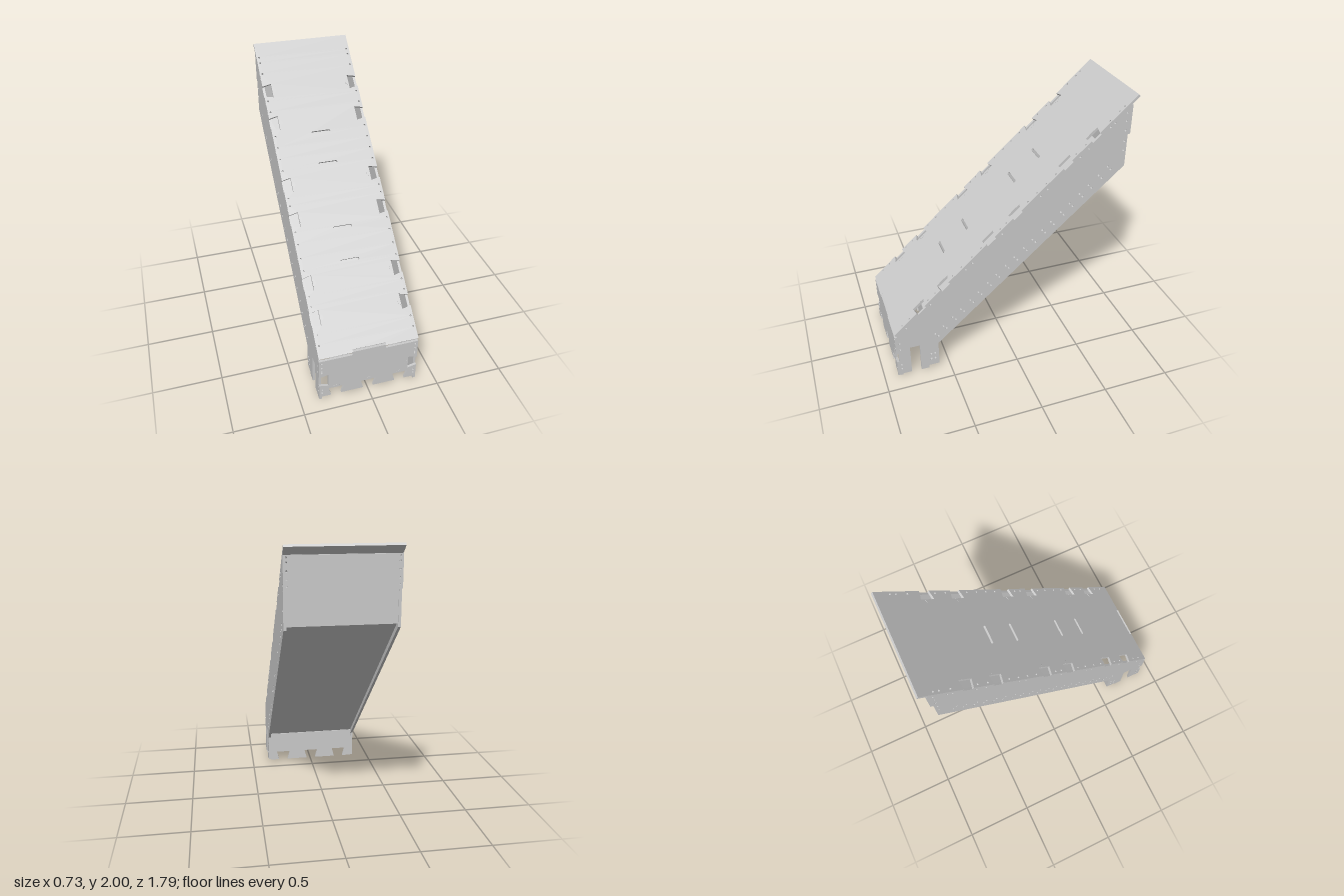
import * as THREE from 'three';

const T = 0.018;                 // sheet thickness
const W = 0.365;                 // half width
const A = Math.atan(0.9);        // slope angle
const SIN = Math.sin(A), COS = Math.cos(A);
const LENGTH = 1.6 / SIN;        // length of the sloping cover
const mat = new THREE.MeshStandardMaterial({ color: 0xcccccc, side: THREE.DoubleSide });

const toShape = pts => new THREE.Shape(pts.map(([x, y]) => new THREE.Vector2(x, y)));

function hole(shape, x, y, r = 0.007) {
  const p = new THREE.Path();
  p.absarc(x, y, r, 0, Math.PI * 2, true);
  shape.holes.push(p);
}

// Rounded horizontal slot
function slot(shape, y, half, r) {
  const p = new THREE.Path();
  p.absarc(half - r, y, r, -Math.PI / 2, Math.PI / 2, false);
  p.absarc(-half + r, y, r, Math.PI / 2, Math.PI * 1.5, false);
  p.closePath();
  shape.holes.push(p);
}

// Dovetail cut, wider at its inner end: [position along edge, depth]
const dovetail = (c, outer, inner, depth) =>
  [[c - outer, 0], [c - inner, depth], [c + inner, depth], [c + outer, 0]];

// Symmetric sheet outline with dovetails in the sides and the bottom edge
function outline(half, y0, y1, { side = [], bottom = [], foot = [], head = [] }) {
  const base = bottom.flatMap(c => dovetail(c, 0.037, 0.056, 0.07)).map(([x, d]) => [x, y0 + d]);
  const right = side.flatMap(c => dovetail(c, 0.04, 0.055, 0.067)).map(([y, d]) => [half - d, y]);
  const up = [...foot, [half, foot.length ? foot[foot.length - 1][1] : y0], ...right, [half, y1], ...head];
  return toShape([...base, ...up, ...up.map(([x, y]) => [-x, y]).reverse()]);
}

function sheet(name, shape, depth = T) {
  const geo = new THREE.ExtrudeGeometry(shape, { depth, bevelEnabled: false, curveSegments: 8 });
  const mesh = new THREE.Mesh(geo, mat);
  mesh.name = name;
  return mesh;
}

// Thin half discs at the inner ends of the dovetails
function reliefDisc(parent, x, y, angle) {
  const s = new THREE.Shape();
  s.absarc(0, 0, 0.025, -Math.PI / 2, Math.PI / 2, false);
  const m = sheet('reliefDisc', s, 0.002);
  m.position.set(x, y, T - 0.0005);
  m.rotation.z = angle;
  parent.add(m);
}

function sideDiscs(parent, centres) {
  for (const y of centres) {
    reliefDisc(parent, W - 0.067, y, Math.PI);
    reliefDisc(parent, -W + 0.067, y, 0);
  }
}

// Sloping cover with side dovetails, slots and rows of rivet holes
function makeCover() {
  const along = y => (y - 0.4) / SIN;
  const cuts = [0.585, 0.75, 1.06, 1.235, 1.56, 1.735].map(along);
  const s = outline(W, 0, LENGTH, { side: cuts, foot: [[0.12, 0.02], [0.12, 0]] });
  for (const y of [0.825, 0.99, 1.32, 1.485]) slot(s, along(y), 0.072, 0.01);
  const rows = [0.46, 0.51, 0.64, 0.69, 0.81, 0.87, 0.94, 1.0, 1.13, 1.17, 1.31, 1.37, 1.43, 1.49, 1.62, 1.68, 1.83, 1.89, 1.92];
  for (const y of rows) for (const x of [-0.345, 0.345]) hole(s, x, along(y));
  const m = sheet('slopingCover', s);
  m.rotation.x = A - Math.PI / 2;
  m.position.set(0, 0.4 - T * COS, 0.9 - T * SIN);
  sideDiscs(m, cuts);
  return m;
}

// Side wall, drawn in (z, y)
function makeSide(name, x) {
  const top = z => 0.4 + (0.9 - z) * 0.9 - T / COS;
  const s = toShape([
    [0.882, 0], [0.882, top(0.882)], [-0.825, top(-0.825)], [-0.825, 1.48],
    [0.58, 0.23], [0.58, 0.03], [0.66, 0.03], [0.66, 0.005], [0.72, 0.005],
    [0.72, 0.25], [0.795, 0.25], [0.795, 0.01], [0.86, 0.01], [0.86, 0],
  ]);
  // paired holes along the lower edge
  for (let i = 0; i < 20; i++) {
    const z = 0.587 - i * 0.0684 + (i % 2 ? 0.004 : 0), y = 0.313 + (0.587 - z) * 0.9;
    hole(s, z + 0.012, y + 0.013, 0.008);
    hole(s, z - 0.012, y - 0.013, 0.008);
  }
  // holes under the cover
  for (const z of [0.81, 0.62, 0.35, 0.3, 0.08, -0.2, -0.25, -0.48, -0.54, -0.69, -0.72])
    hole(s, z, top(z) - 0.016);
  for (const z of [0.61, 0.64]) for (const y of [0.09, 0.14]) hole(s, z, y, 0.009);
  for (const y of [0.06, 0.1, 0.25, 0.31]) hole(s, 0.868, y);
  for (const y of [1.6, 1.67, 1.75, 1.82, 1.88]) hole(s, -0.805, y);
  const m = sheet(name, s);
  m.rotation.y = -Math.PI / 2;
  m.position.x = x;
  return m;
}

// Front plate with a centre tab and dovetails
function makeFront() {
  const s = outline(W, 0.025, 0.375, {
    bottom: [-0.24, 0, 0.24], side: [0.178],
    foot: [[0.345, 0.025], [0.345, 0.003]],
    head: [[0.12, 0.375], [0.12, 0.405]],
  });
  for (const y of [0.06, 0.09, 0.26, 0.275, 0.31, 0.35]) for (const x of [-0.345, 0.345]) hole(s, x, y);
  const m = sheet('frontPlate', s);
  m.position.z = 0.9 - T;
  sideDiscs(m, [0.178]);
  for (const x of [-0.24, 0, 0.24]) reliefDisc(m, x, 0.095, Math.PI / 2);
  return m;
}

function makeRear() {
  const g = new THREE.Group();
  g.name = 'rearPlates';
  const inner = W - T;
  // short plate behind the feet
  const foot = sheet('footPlate', outline(inner, 0.025, 0.26, { bottom: [-0.24, 0, 0.24] }));
  foot.position.z = 0.582;
  // lower plate sits between the sides, upper plate laps over them
  const lower = sheet('lowerBackPlate', outline(inner, 1.5, 1.8, {}));
  lower.position.z = -0.82;
  const s = outline(W, 1.72, 1.935, {});
  for (const y of [1.75, 1.79, 1.84, 1.89, 1.92]) for (const x of [-0.345, 0.345]) hole(s, x, y);
  const upper = sheet('upperBackPlate', s);
  upper.position.z = -0.825 - T;
  g.add(foot, lower, upper);
  return g;
}

// Sloping floor recessed between the sides
function makeFloor() {
  const m = sheet('slopingFloor', outline(W - T, 0, Math.hypot(1.39, 1.24), {}));
  m.rotation.x = Math.atan(1.4 / 1.25) * -1;
  m.position.set(0, 0.26, 0.59);
  return m;
}

export function createModel() {
  const group = new THREE.Group();
  group.name = 'slopingChute';
  group.add(
    makeCover(), makeFront(), makeRear(), makeFloor(),
    makeSide('leftSide', W), makeSide('rightSide', -W + T),
  );
  return group;
}
